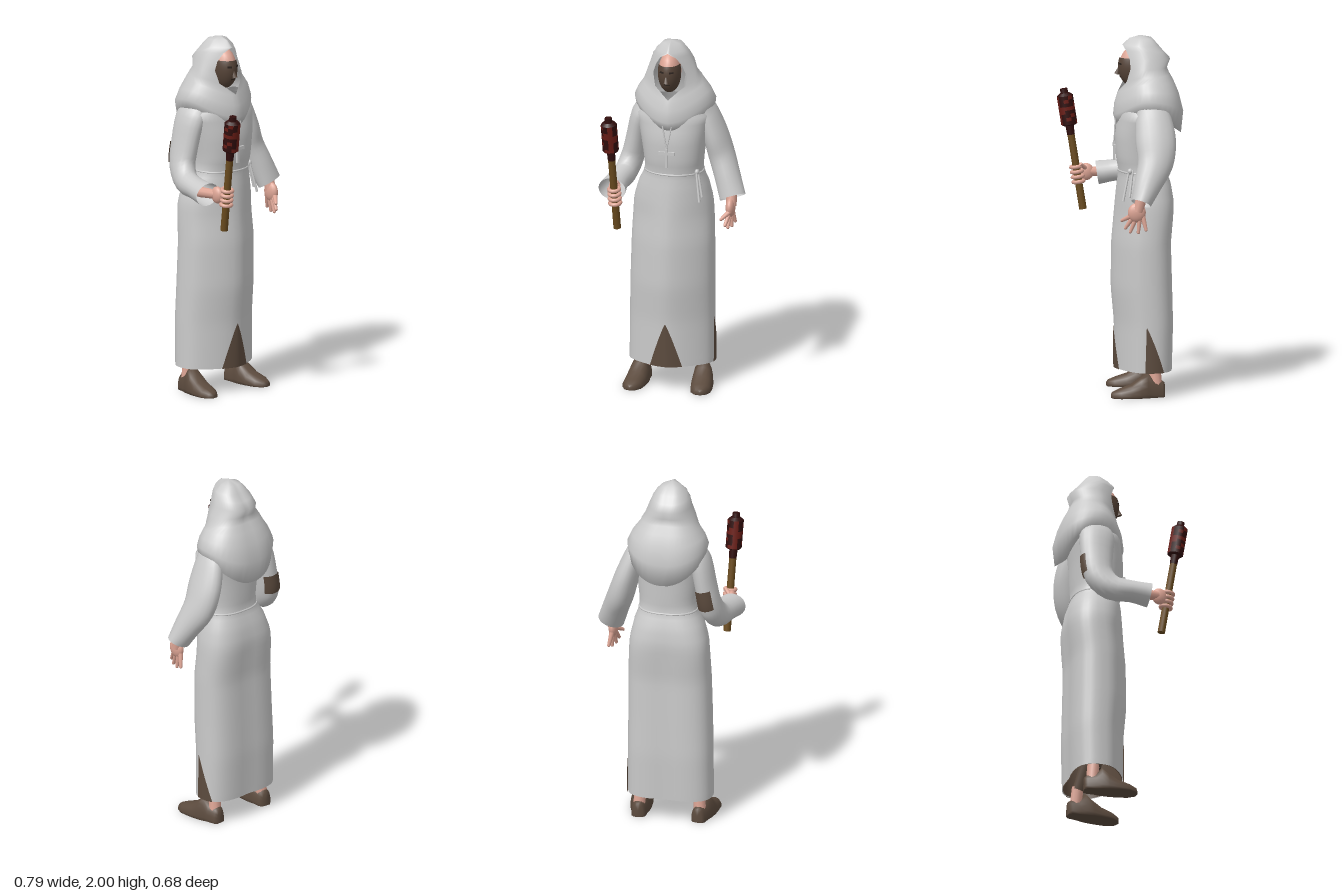
import * as THREE from 'three';
import { mergeVertices } from 'three/addons/utils/BufferGeometryUtils.js';

const V = (x, y, z) => new THREE.Vector3(x, y, z);
const PI = Math.PI;
const material = (name, color, both) => {
  const m = new THREE.MeshStandardMaterial({ color });
  m.name = name;
  if (both) m.side = THREE.DoubleSide;
  return m;
};

// Smooth surface from a rule fn(u, v), u around and v along
function grid(nu, nv, fn) {
  const pos = [], index = [];
  for (let j = 0; j <= nv; j++) for (let i = 0; i <= nu; i++) pos.push(...fn(i / nu, j / nv).toArray());
  for (let j = 0; j < nv; j++) for (let i = 0; i < nu; i++) {
    const a = j * (nu + 1) + i, b = a + nu + 1;
    index.push(a, b, a + 1, a + 1, b, b + 1);
  }
  let g = new THREE.BufferGeometry();
  g.setAttribute('position', new THREE.Float32BufferAttribute(pos, 3));
  g.setIndex(index);
  g = mergeVertices(g, 1e-5);
  g.computeVertexNormals();
  return g;
}

const spow = (c, p) => Math.sign(c) * Math.abs(c) ** p;
const lerp = THREE.MathUtils.lerp;
// Cloth is fuller at its back corners than at its front corners
const skew = (p, a, k) => p.add(V(-k * Math.sin(2 * a), 0, -k * Math.abs(Math.sin(2 * a))));

// Robe sections: y, right x, left x, back z, front z
const ROBE = [
  [0.14, -0.27, 0.2, -0.265, 0.043], [0.4, -0.268, 0.2, -0.272, 0.045], [0.6, -0.263, 0.2, -0.267, 0.063],
  [0.85, -0.255, 0.2, -0.26, 0.06], [1.08, -0.245, 0.19, -0.28, 0.04], [1.18, -0.215, 0.17, -0.265, 0.03],
  [1.25, -0.178, 0.145, -0.24, 0.02], [1.32, -0.18, 0.15, -0.245, 0.035], [1.45, -0.2, 0.165, -0.25, 0.04],
  [1.58, -0.225, 0.185, -0.26, 0.02], [1.66, -0.15, 0.1, -0.22, 0],
];
function robePoint(a, y, grow = 0) {
  let i = 0;
  while (i < ROBE.length - 2 && y > ROBE[i + 1][0]) i++;
  const t = (y - ROBE[i][0]) / (ROBE[i + 1][0] - ROBE[i][0]);
  const [, x0, x1, z0, z1] = ROBE[i].map((q, k) => lerp(q, ROBE[i + 1][k], t));
  const p = V((x0 + x1) / 2 + ((x1 - x0) / 2 + grow) * spow(Math.cos(a), 0.88), y,
    (z0 + z1) / 2 + ((z1 - z0) / 2 + grow) * spow(Math.sin(a), 0.88));
  return skew(p, a, 0.02 * THREE.MathUtils.clamp((1.3 - y) / 0.3, 0, 1));
}

// Hood sections: y at side, front, back; right x, left x, back z, front z; half angle of face opening
const HOOD = [
  [1.62, 1.54, 1.49, -0.21, 0.17, -0.27, 0.01, 0], [1.6, 1.515, 1.455, -0.235, 0.195, -0.322, 0.036, 0],
  [1.66, 1.56, 1.58, -0.248, 0.203, -0.335, 0.05, 0], [1.71, 1.625, 1.68, -0.226, 0.18, -0.31, 0.043, 0],
  [1.75, 1.685, 1.745, -0.198, 0.15, -0.283, 0.025, 0], [1.785, 1.735, 1.79, -0.182, 0.129, -0.258, 0.016, 0.62],
  [1.825, 1.825, 1.825, -0.168, 0.11, -0.245, 0.013, 0.84], [1.875, 1.875, 1.87, -0.152, 0.09, -0.263, 0.013, 0.78],
  [1.92, 1.92, 1.905, -0.136, 0.072, -0.228, 0.008, 0.55], [1.947, 1.947, 1.945, -0.118, 0.055, -0.195, -0.003, 0],
  [1.983, 1.983, 1.983, -0.082, 0.02, -0.16, -0.04, 0], [2, 2, 2, -0.032, -0.032, -0.1, -0.1, 0],
];
function hoodPoint(u, v) {
  const [yS, yF, yB, x0, x1, z0, z1, gap] = HOOD[Math.round(v * (HOOD.length - 1))];
  const a = lerp(PI / 2 + gap, 2.5 * PI - gap, u), s = Math.sin(a);
  const taper = v > 0.5 && s < 0 ? 1 + 0.2 * s : 1;
  const p = V((x0 + x1) / 2 + (x1 - x0) / 2 * Math.cos(a) * taper, yS + ((s > 0 ? yF : yB) - yS) * s * s,
    (z0 + z1) / 2 + (z1 - z0) / 2 * s);
  return v === 1 ? p : skew(p, a, 0.012);
}

// Sleeve sections: centre x, y, z, width radius, depth radius
function sleeve(list, a0 = 0, a1 = 2 * PI, t0 = 0, t1 = 1, grow = 0) {
  const path = new THREE.CatmullRomCurve3(list.map(s => V(s[0], s[1], s[2])));
  const size = new THREE.CatmullRomCurve3(list.map(s => V(s[3], s[4], 0)));
  return grid(20, 18, (u, v) => {
    const k = lerp(t0, t1, v), a = lerp(a0, a1, u), t = path.getTangent(k), r = size.getPoint(k);
    const side = V(1, 0, 0).addScaledVector(t, -t.x).normalize(), front = t.clone().cross(side);
    return path.getPoint(k).addScaledVector(side, (r.x + grow) * Math.cos(a))
      .addScaledVector(front, -(r.y + grow) * Math.sin(a));
  });
}
const RIGHT_ARM = [
  [-0.17, 1.62, -0.14, 0.05, 0.08], [-0.205, 1.55, -0.15, 0.06, 0.1], [-0.235, 1.42, -0.16, 0.06, 0.092],
  [-0.262, 1.29, -0.153, 0.064, 0.083], [-0.288, 1.215, -0.09, 0.064, 0.073], [-0.311, 1.195, 0.02, 0.066, 0.06],
  [-0.318, 1.18, 0.118, 0.078, 0.066],
];
const LEFT_ARM = [
  [0.135, 1.63, -0.14, 0.05, 0.08], [0.165, 1.56, -0.16, 0.058, 0.1], [0.206, 1.44, -0.172, 0.068, 0.112],
  [0.24, 1.33, -0.168, 0.073, 0.1], [0.282, 1.22, -0.125, 0.073, 0.078], [0.32, 1.115, -0.083, 0.074, 0.056],
];

// Shoe sections from toe to heel: z, half width, height
const SHOE = [[0.075, 0, 0.02], [0.065, 0.032, 0.033], [0.025, 0.056, 0.05], [-0.04, 0.061, 0.073], [-0.09, 0.06, 0.11],
  [-0.128, 0.055, 0.142], [-0.16, 0.046, 0.1], [-0.21, 0.04, 0.09], [-0.225, 0.026, 0.08], [-0.227, 0, 0.04]];

export function createModel() {
  const model = new THREE.Group();
  const cloth = material('pale cloth', 0xcacaca, true);
  const brown = material('brown cloth and leather', 0x5c4b3e, true);
  const skin = material('skin', 0xdda595);
  const mask = material('dark mask', 0x554337);
  const dark = material('eye shadow', 0x2a211c);
  const wood = material('wood', 0x6b4c1f);
  const red = material('torch red', 0x6a1d16);
  const char = material('torch dark red', 0x300e0d);

  const add = (name, geo, mat, parent = model) => {
    const m = new THREE.Mesh(geo, mat);
    m.name = name;
    parent.add(m);
    return m;
  };
  const limb = (name, a, b, r0, r1, mat, parent = model) => {
    const d = b.clone().sub(a);
    const m = add(name, new THREE.CylinderGeometry(r1, r0, d.length(), 10), mat, parent);
    m.position.copy(a).addScaledVector(d, 0.5);
    m.quaternion.setFromUnitVectors(V(0, 1, 0), d.normalize());
    return m;
  };
  const ball = (name, p, s, mat, parent = model) => {
    const m = add(name, new THREE.SphereGeometry(1, 16, 12), mat, parent);
    m.position.copy(p);
    m.scale.copy(s);
    return m;
  };

  // Robe with brown lining and slits
  add('robe', grid(40, 38, (u, v) => robePoint(u * 2 * PI, 0.14 + v * 1.52)), cloth);
  add('lining', grid(40, 6, (u, v) => v === 1 ? V(-0.035, 0.45, -0.11) : robePoint(u * 2 * PI, 0.141 + v * 0.36, -0.006)), brown);
  const slit = (name, apex, a, b, top) => add(name, grid(10, 12, (u, v) =>
    robePoint(lerp(lerp(a, b, u), apex, v), lerp(0.14, top, v), 0.005)), brown);
  slit('frontSlit', PI / 2, PI / 2 - 0.41, PI / 2 + 0.4, 0.39);
  slit('sideSlit', -0.03, -0.55, -0.01, 0.4);

  // Belt and hanging cords
  const belt = new THREE.CatmullRomCurve3(Array.from({ length: 40 }, (_, i) => robePoint(i / 20 * PI, 1.25, 0.001)), true);
  add('belt', new THREE.TubeGeometry(belt, 80, 0.006, 6, true), cloth);
  limb('beltCord', V(0.125, 1.27, -0.03), V(0.15, 1.1, 0.005), 0.006, 0.007, cloth);
  limb('beltCord', V(0.13, 1.27, -0.05), V(0.158, 1.12, -0.03), 0.006, 0.007, cloth);
  ball('beltKnot', V(0.128, 1.262, -0.035), V(0.013, 0.016, 0.014), cloth);

  // Hood and face
  add('hood', grid(40, HOOD.length - 1, hoodPoint), cloth);
  ball('head', V(-0.033, 1.825, -0.07), V(0.063, 0.115, 0.085), skin);
  const face = add('mask', new THREE.SphereGeometry(1, 20, 12, 0, PI, 1.12, 1.85), mask);
  face.position.set(-0.033, 1.825, -0.068);
  face.scale.set(0.065, 0.117, 0.09);
  const nose = add('nose', new THREE.ConeGeometry(0.015, 0.06, 6), mask);
  nose.position.set(-0.033, 1.81, 0.019);
  nose.rotation.x = -0.3;
  for (const s of [-1, 1]) {
    const eye = add('eye', new THREE.BoxGeometry(0.026, 0.009, 0.008), dark);
    eye.position.set(-0.033 + s * 0.026, 1.842, 0.011);
    eye.rotation.set(-0.15, s * 0.45, s * 0.12);
  }
  const mouth = add('mouth', new THREE.BoxGeometry(0.03, 0.006, 0.008), dark);
  mouth.position.set(-0.033, 1.77, 0.008);

  // Pendant
  const pendant = new THREE.Group();
  pendant.name = 'pendant';
  model.add(pendant);
  add('upright', new THREE.BoxGeometry(0.016, 0.11, 0.012), cloth, pendant).position.set(-0.027, 1.355, 0.043);
  add('crossbar', new THREE.BoxGeometry(0.09, 0.018, 0.012), cloth, pendant).position.set(-0.027, 1.383, 0.043);
  for (const x of [-0.052, 0]) {
    limb('chain', V(-0.027, 1.408, 0.043), V(x, 1.54, 0.035), 0.004, 0.004, cloth, pendant);
  }

  // Sleeves and elbow patch
  add('rightSleeve', sleeve(RIGHT_ARM), cloth);
  add('leftSleeve', sleeve(LEFT_ARM), cloth);
  add('elbowPatch', sleeve(RIGHT_ARM, 0.2 * PI, 0.7 * PI, 0.355, 0.475, 0.005), brown);

  // Left hand, open and hanging
  limb('leftWrist', V(0.315, 1.16, -0.09), V(0.315, 1.07, -0.065), 0.03, 0.03, skin);
  ball('leftPalm', V(0.313, 1.063, -0.06), V(0.026, 0.055, 0.05), skin);
  [[0.328, 0.968, -0.11], [0.318, 0.953, -0.068], [0.305, 0.955, -0.025], [0.295, 0.975, 0.002], [0.277, 1.015, 0.02]].forEach(([x, y, z], i) => {
    const root = V(0.313, 1.045, -0.092 + i * 0.016);
    limb('leftFinger', root, V(x, y, z), 0.015, 0.009, skin);
    ball('leftFingertip', V(x, y, z), V(0.009, 0.009, 0.009), skin);
  });

  // Torch, built along its own length and then tilted
  const torch = new THREE.Group();
  torch.name = 'torch';
  torch.position.set(-0.27, 0.985, 0.2);
  torch.quaternion.setFromUnitVectors(V(0, 1, 0), V(-0.028, 0.67, 0.105).normalize());
  model.add(torch);
  const ring = (name, y0, y1, r0, r1, mat) =>
    add(name, new THREE.CylinderGeometry(r1, r0, y1 - y0, 10), mat, torch).position.set(0, (y0 + y1) / 2, 0);
  ring('handle', 0, 0.44, 0.021, 0.02, wood);
  ring('collar', 0.42, 0.49, 0.021, 0.024, char);
  ring('headBase', 0.474, 0.482, 0.038, 0.045, char);
  // mottled wrapping: each facet is red or dark by a fixed rule
  const wrap = new THREE.CylinderGeometry(0.045, 0.045, 0.16, 10, 8, true);
  wrap.clearGroups();
  for (let i = 0; i < 10; i++) for (let j = 0; j < 8; j++) {
    wrap.addGroup((i * 8 + j) * 6, 6, (i * 7 + j * 5 + i * j) % 5 < 2 ? 0 : 1);
  }
  add('headWrap', wrap, [red, char], torch).position.y = 0.56;
  ring('headTop', 0.64, 0.655, 0.045, 0.028, char);
  ring('headTip', 0.655, 0.68, 0.022, 0.02, char);

  // Right hand gripping the torch
  limb('rightWrist', V(-0.318, 1.185, 0.05), V(-0.305, 1.19, 0.17), 0.03, 0.026, skin);
  ball('rightPalm', V(-0.302, 1.188, 0.18), V(0.026, 0.048, 0.042), skin);
  for (let i = 0; i < 4; i++) {
    const finger = add('rightFinger', new THREE.TorusGeometry(0.029, 0.011, 8, 16), skin, torch);
    finger.position.y = 0.155 + i * 0.028;
    finger.rotation.x = PI / 2;
  }
  limb('rightThumb', V(-0.29, 1.21, 0.185), V(-0.255, 1.24, 0.215), 0.013, 0.009, skin);

  // Shoes, bare ankles and trouser legs
  for (const [name, s, x, turn] of [['leftFoot', 1, 0.158, 0.11], ['rightFoot', -1, -0.224, -0.1]]) {
    const foot = new THREE.Group();
    foot.name = name;
    foot.position.x = x;
    foot.rotation.y = turn;
    model.add(foot);
    add('shoe', grid(20, SHOE.length - 1, (u, v) => {
      const [z, w, h] = SHOE[Math.round(v * (SHOE.length - 1))], a = u * 2 * PI;
      return V(w * spow(Math.cos(a), 0.8), h * Math.max(0, 0.15 + 0.85 * Math.sin(a)), z);
    }), brown, foot);
    limb('ankle', V(0, 0.06, -0.18), V(-s * 0.01, 0.17, -0.17), 0.034, 0.034, skin, foot);
    limb('trouserLeg', V(-s * 0.015, 0.155, -0.165), V(-s * 0.09, 0.36, -0.12), 0.038, 0.045, brown, foot);
  }
  return model;
}
